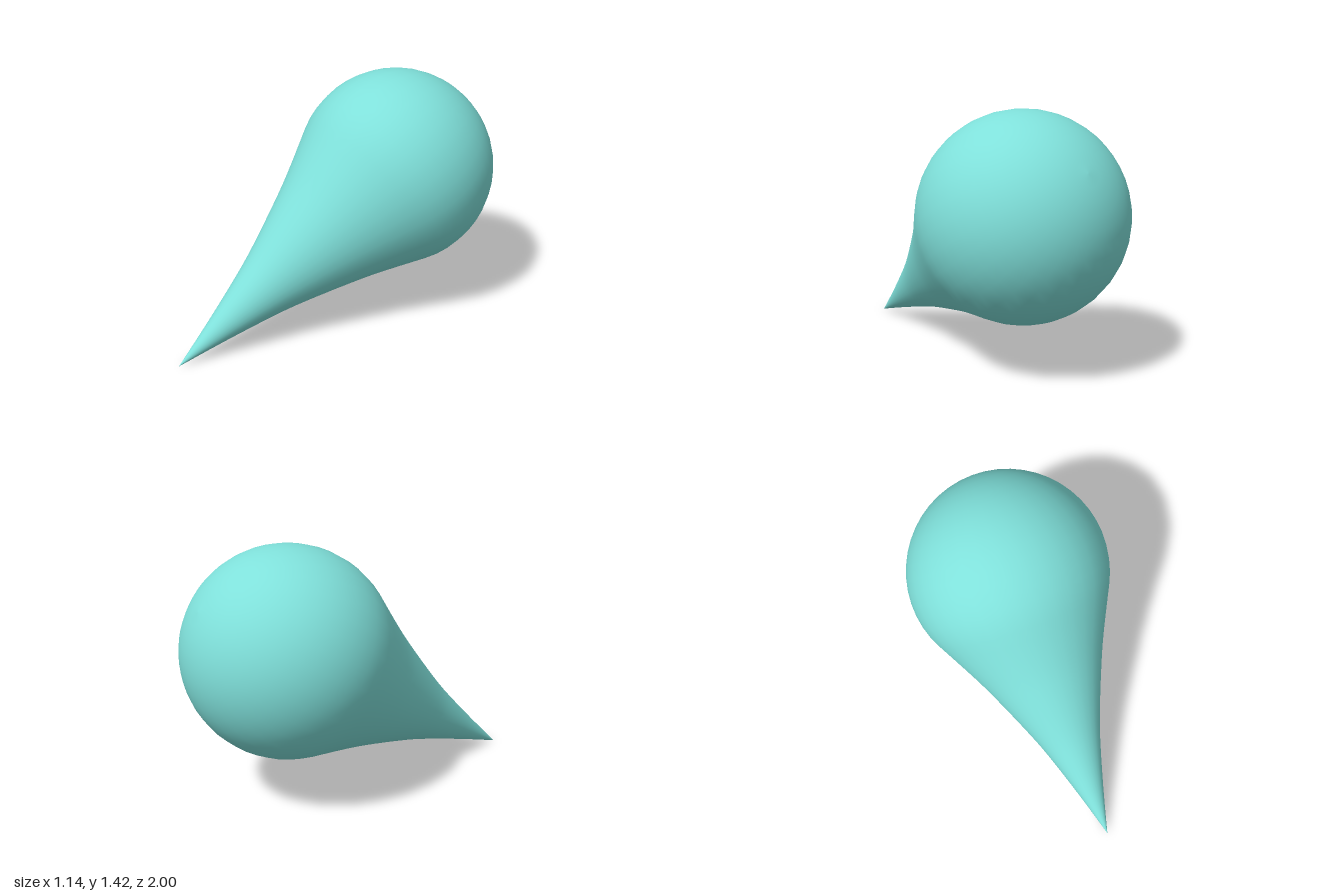
import * as THREE from 'three';

const RADIUS = 0.571;
const TIP = new THREE.Vector3(-0.265, 0.002, 1);
const CENTRE = new THREE.Vector3(0, 0.85, -0.429);

export function createModel() {
  const group = new THREE.Group();
  group.name = 'droplet';
  const axis = CENTRE.clone().sub(TIP);
  const length = axis.length();

  // Tail: radius against distance from the tip, flaring gently into the ball
  const tail = new THREE.SplineCurve([
    [0, 0], [0.28, 0.073], [0.56, 0.153], [0.74, 0.213],
    [1.0, 0.314], [1.18, 0.391], [1.433, 0.513],
  ].map(([s, r]) => new THREE.Vector2(r, s)));
  const profile = tail.getPoints(18);

  // Ball: arc from the tail joint round to the back pole
  const start = Math.asin((1.433 - length) / RADIUS);
  const steps = 16;
  for (let i = 1; i <= steps; i++) {
    const a = THREE.MathUtils.lerp(start, Math.PI / 2, i / steps);
    const r = i === steps ? 0 : RADIUS * Math.cos(a);
    profile.push(new THREE.Vector2(r, length + RADIUS * Math.sin(a)));
  }

  // Whole drop, turned about the line from the tip to the ball's centre
  const drop = new THREE.Mesh(
    new THREE.LatheGeometry(profile, 36),
    new THREE.MeshStandardMaterial({ color: 0x7fe0da })
  );
  drop.name = 'dropBody';
  drop.quaternion.setFromUnitVectors(new THREE.Vector3(0, 1, 0), axis.normalize());
  drop.position.copy(TIP);
  group.add(drop);
  return group;
}
